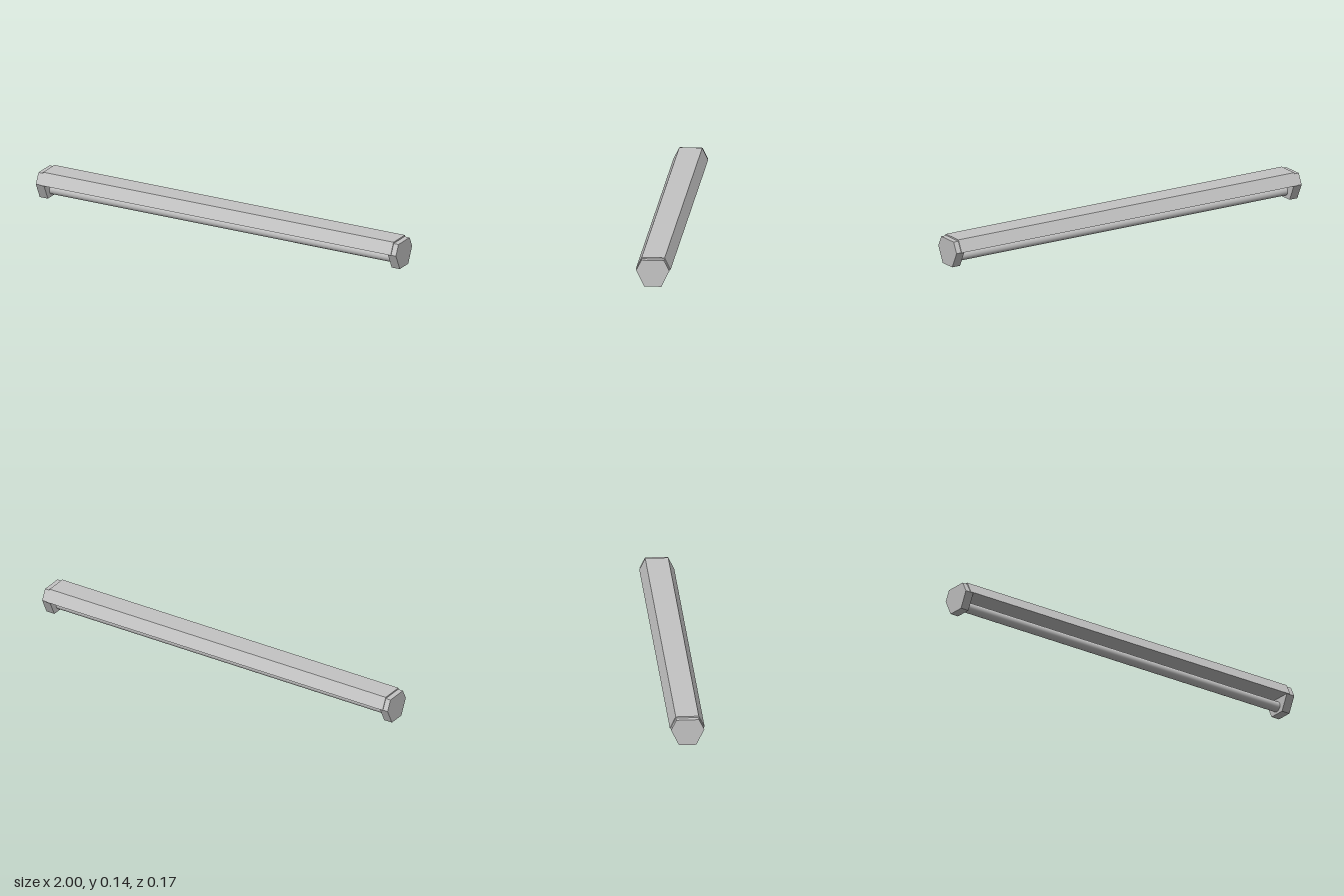
import * as THREE from 'three';

const grey = new THREE.MeshStandardMaterial({ color: 0xc4c4c4 });
grey.name = 'light grey';

// Extrude a symmetric profile of [half width, height] pairs along x
function prism(name, profile, x0, x1) {
  const right = profile.map(([w, y]) => new THREE.Vector2(w, y));
  const left = profile.map(([w, y]) => new THREE.Vector2(-w, y)).reverse();
  const geometry = new THREE.ExtrudeGeometry(new THREE.Shape([...right, ...left]), {
    depth: x1 - x0, bevelEnabled: false,
  });
  geometry.rotateY(Math.PI / 2).translate(x0, 0, 0);
  const mesh = new THREE.Mesh(geometry, grey);
  mesh.name = name;
  return mesh;
}

export function createModel() {
  const model = new THREE.Group();
  model.name = 'tubeLight';

  // Sloped housing above the tube
  model.add(prism('housing', [[0.085, 0.08], [0.056, 0.139]], -0.973, 0.973));

  // Six-sided end caps
  const cap = [[0.042, 0], [0.081, 0.08], [0.055, 0.132]];
  model.add(prism('leftEndCap', cap, 0.955, 1));
  model.add(prism('rightEndCap', cap, -1, -0.955));

  // Round lamp tube held between the caps
  const tube = new THREE.Mesh(new THREE.CylinderGeometry(0.026, 0.026, 1.92, 32), grey);
  tube.name = 'lampTube';
  tube.rotation.z = Math.PI / 2;
  tube.position.y = 0.038;
  model.add(tube);

  return model;
}
